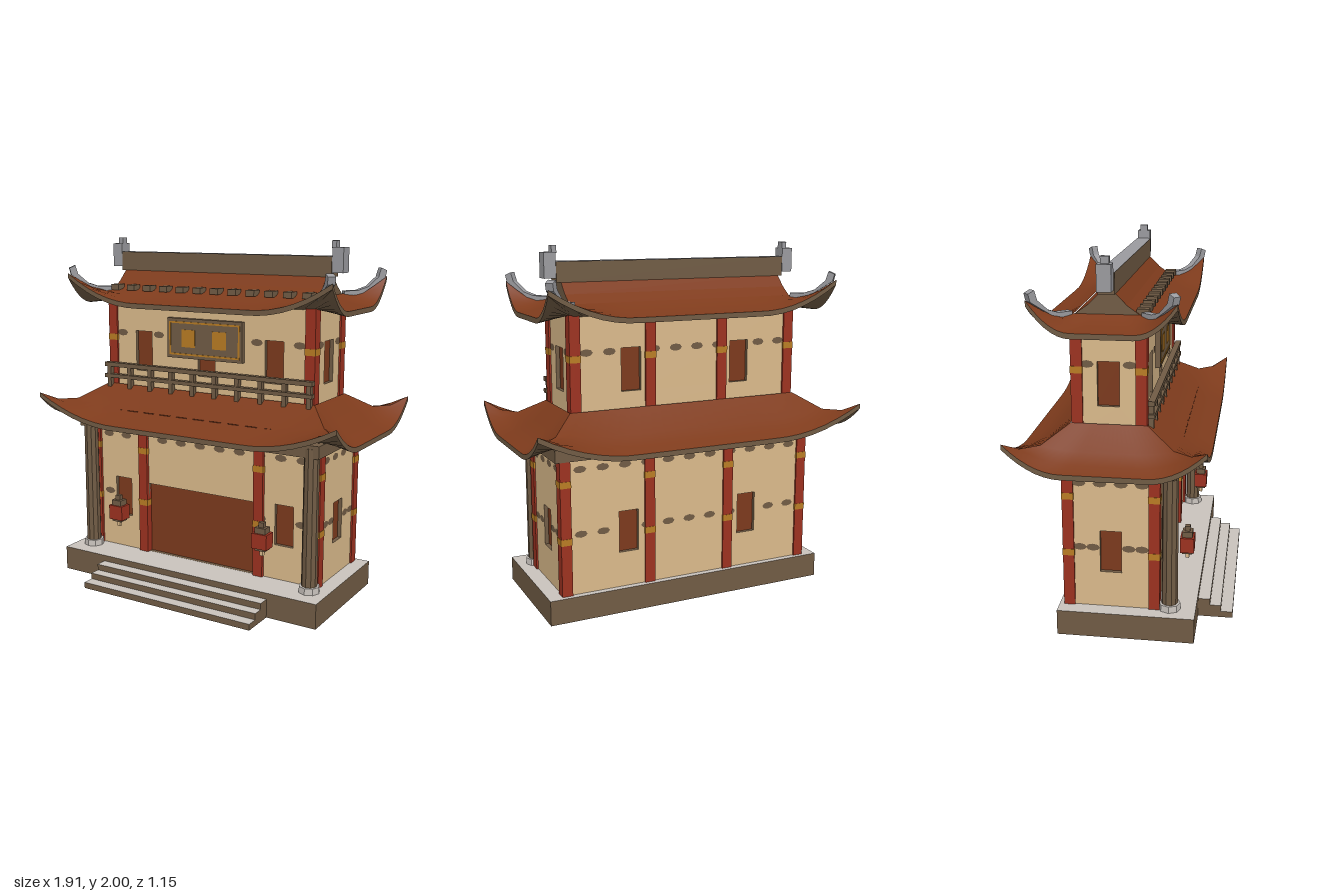
import * as THREE from 'three';

const mat = (name, color) => {
  const m = new THREE.MeshStandardMaterial({ color });
  m.name = name;
  return m;
};

export function createModel() {
  const tile = mat('roof tile', 0x7e3b1c);
  const wood = mat('brown timber', 0x715c45);
  const plaster = mat('plaster', 0xdcbb8c);
  const red = mat('red lacquer', 0x9d3220);
  const door = mat('door red', 0x7d3a1d);
  const gold = mat('gold', 0xba7d24);
  const stone = mat('pale stone', 0xc9c3bd);
  const grey = mat('grey stone', 0x9b9b9f);
  const model = new THREE.Group();

  const add = (name, geo, material, x = 0, y = 0, z = 0, parent = model) => {
    const m = new THREE.Mesh(geo, material);
    m.name = name;
    m.position.set(x, y, z);
    parent.add(m);
    return m;
  };
  // box given by its limits on each axis
  const box = (name, material, x0, x1, y0, y1, z0, z1, parent = model) =>
    add(name, new THREE.BoxGeometry(x1 - x0, y1 - y0, z1 - z0), material,
      (x0 + x1) / 2, (y0 + y1) / 2, (z0 + z1) / 2, parent);
  const faceted = (geo) => {
    const g = geo.toNonIndexed();
    g.computeVertexNormals();
    return g;
  };

  // platform and steps
  const paved = [wood, wood, stone, stone, wood, wood];
  box('platform', paved, -0.842, 0.842, 0, 0.14, -0.345, 0.385);
  [[0.035, 0.575], [0.07, 0.51], [0.105, 0.45]].forEach(([h, z]) =>
    box('step', paved, -0.55, 0.55, h - 0.035, h, 0.38, z));

  // wall panel facing +z with recessed openings and painted spots
  function wall(name, width, y0, y1, openings, rows, x, z, angle) {
    const g = new THREE.Group();
    g.name = name;
    g.position.set(x, 0, z);
    g.rotation.y = angle;
    model.add(g);
    const w = width / 2, shape = new THREE.Shape();
    shape.moveTo(-w, y0).lineTo(w, y0).lineTo(w, y1).lineTo(-w, y1).closePath();
    for (const [cx, hw, b, t] of openings) {
      const hole = new THREE.Path();
      hole.moveTo(cx - hw, b).lineTo(cx - hw, t).lineTo(cx + hw, t).lineTo(cx + hw, b).closePath();
      shape.holes.push(hole);
      box('opening panel', door, cx - hw - 0.01, cx + hw + 0.01, b - 0.01, t + 0.01, -0.04, -0.022, g);
    }
    add('plaster', new THREE.ExtrudeGeometry(shape, { depth: 0.04, bevelEnabled: false }), [plaster, wood], 0, 0, -0.04, g);
    const gap = width > 1 ? 0.13 : 0.11, n = Math.floor((width - 0.11) / gap), reach = 0.038;
    for (const y of rows) for (let i = 0; i <= n; i++) {
      let sx = (i - n / 2) * gap;
      const near = openings.find(([cx, hw, b, t]) => Math.abs(sx - cx) < hw + reach && y > b - 0.02 && y < t + 0.02);
      if (near) {
        // spots beside an opening slide to its edge, those inside are dropped
        const [cx, hw] = near, d = sx - cx;
        if (Math.abs(d) < hw - 0.03) continue;
        sx = cx + Math.sign(d) * (hw + reach);
      }
      add('wall spot', new THREE.CircleGeometry(0.02, 8), wood, sx, y, 0.002, g).scale.set(1.85, 1, 1);
    }
  }
  const H = Math.PI / 2;
  const low = (x) => [x, 0.057, 0.34, 0.575], high = (x) => [x, 0.057, 1.23, 1.465];
  wall('lower front wall', 1.46, 0.14, 0.96, [low(-0.545), low(0.545), [0, 0.36, 0.141, 0.565]], [0.84, 0.48], 0, 0.18, 0);
  wall('lower back wall', 1.46, 0.14, 0.96, [low(-0.37), low(0.37)], [0.84, 0.48], 0, -0.31, Math.PI);
  wall('upper front wall', 1.3, 1.08, 1.66, [high(-0.432), high(0), high(0.432)], [1.45], 0, 0.105, 0);
  wall('upper back wall', 1.3, 1.08, 1.66, [high(-0.33), high(0.33)], [1.45], 0, -0.265, Math.PI);
  for (const s of [-1, 1]) {
    wall('lower side wall', 0.48, 0.14, 0.96, [low(0)], [0.84, 0.48], s * 0.755, -0.065, s * H);
    wall('upper side wall', 0.36, 1.08, 1.66, [high(0)], [1.45], s * 0.67, -0.083, s * H);
  }

  // square red pillars with gold bands
  function pillar(x, z, y0, y1, bands) {
    box('pillar', red, x - 0.03, x + 0.03, y0, y1, z - 0.03, z + 0.03);
    for (const b of bands) box('gold band', gold, x - 0.032, x + 0.032, b - 0.018, b + 0.018, z - 0.032, z + 0.032);
  }
  for (const s of [-1, 1]) {
    const lowBands = [0.447, 0.765];
    pillar(s * 0.735, 0.165, 0.14, 0.95, lowBands);
    pillar(s * 0.39, 0.17, 0.14, 0.95, lowBands);
    pillar(s * 0.735, -0.29, 0.14, 0.95, lowBands);
    pillar(s * 0.245, -0.29, 0.14, 0.95, lowBands);
    pillar(s * 0.65, 0.086, 1.08, 1.65, [1.42]);
    pillar(s * 0.65, -0.246, 1.08, 1.65, [1.42]);
    pillar(s * 0.218, -0.246, 1.08, 1.65, [1.42]);

    // round porch columns on stone bases
    add('porchColumn', faceted(new THREE.CylinderGeometry(0.042, 0.044, 0.8, 10)), wood, s * 0.735, 0.54, 0.245);
    add('columnBase', faceted(new THREE.CylinderGeometry(0.058, 0.06, 0.036, 8)), stone, s * 0.735, 0.158, 0.245);

    // hanging lanterns
    const lantern = new THREE.Group();
    lantern.name = 'lantern';
    lantern.position.set(s * 0.482, 0, 0.316);
    model.add(lantern);
    box('lanternBody', red, -0.046, 0.046, 0.365, 0.45, -0.038, 0.038, lantern);
    box('lanternCap', wood, -0.032, 0.032, 0.45, 0.482, -0.028, 0.028, lantern);
    box('lanternHook', wood, -0.016, 0.016, 0.482, 0.51, -0.014, 0.014, lantern);
    box('lanternFoot', wood, -0.032, 0.032, 0.352, 0.365, -0.028, 0.028, lantern);
    box('tassel', plaster, -0.01, 0.01, 0.32, 0.352, -0.01, 0.01, lantern);

    box('beamOrnament', gold, s * 0.395 - 0.06, s * 0.395 + 0.06, 0.89, 0.94, 0.275, 0.284);
  }
  box('eaveBeam', wood, -0.79, 0.79, 0.89, 0.96, -0.325, 0.28);

  // rectangular rings swept between eave and wall; ring = [half width, front z, back z, y, corner lift]
  function ringSurface(name, rings, material) {
    const pos = [], idx = [], N = 24;
    for (let k = 0; k < 4; k++) {
      const start = pos.length / 3, flat = k % 2 ? 0.42 : 0.45;
      for (const [a, zf, zb, y, lift] of rings) {
        const c = (zf + zb) / 2, h = (zf - zb) / 2;
        for (let j = 0; j <= N; j++) {
          const s = -1 + 2 * j / N;
          const rise = lift * Math.max(0, (Math.abs(s) - flat) / (1 - flat)) ** 2;
          const [x, z] = [[a * s, zf], [a, c - h * s], [-a * s, zb], [-a, c + h * s]][k];
          pos.push(x, y + rise, z);
        }
      }
      for (let i = 0; i < rings.length - 1; i++) for (let j = 0; j < N; j++) {
        const p = start + i * (N + 1) + j, q = p + N + 1;
        idx.push(p, p + 1, q + 1, p, q + 1, q);
      }
    }
    const g = new THREE.BufferGeometry();
    g.setAttribute('position', new THREE.Float32BufferAttribute(pos, 3));
    g.setIndex(idx);
    g.computeVertexNormals();
    add(name, g, material);
  }
  function roof(name, rings, soffit) {
    const lip = [...rings[0]];
    lip[3] -= 0.028;
    ringSurface(name + 'Tiles', rings, tile);
    ringSurface(name + 'Fascia', [lip, rings[0]], wood);
    ringSurface(name + 'Underside', [soffit, lip], wood);
  }
  roof('lowerRoof', [
    [0.957, 0.442, -0.573, 0.957, 0.145], [0.885, 0.36, -0.5, 0.982, 0.075],
    [0.81, 0.265, -0.41, 1.03, 0.025], [0.685, 0.12, -0.28, 1.14, 0],
  ], [0.74, 0.2, -0.31, 0.955, 0]);
  roof('upperRoof', [
    [0.845, 0.283, -0.453, 1.643, 0.155], [0.78, 0.21, -0.38, 1.655, 0.08],
    [0.72, 0.145, -0.315, 1.675, 0.025], [0.665, 0.085, -0.255, 1.705, 0],
  ], [0.65, 0.1, -0.265, 1.64, 0]);

  // gabled top of the upper roof
  const gable = new THREE.Shape();
  gable.moveTo(-0.17, 1.7).lineTo(0.17, 1.7).lineTo(0.1, 1.75).lineTo(0.035, 1.815)
    .lineTo(-0.035, 1.815).lineTo(-0.1, 1.75).closePath();
  const top = add('gableRoof', new THREE.ExtrudeGeometry(gable, { depth: 1.33, bevelEnabled: false }),
    [wood, tile], -0.665, 0, -0.085);
  top.rotation.y = H;

  // ridge and its end ornaments
  box('ridge', [wood, wood, grey, wood, wood, wood], -0.69, 0.69, 1.808, 1.917, -0.127, -0.043);
  box('ridgeEnd', grey, -0.76, -0.695, 1.83, 1.965, -0.122, -0.048);
  box('ridgeEnd', grey, 0.69, 0.755, 1.83, 1.965, -0.122, -0.048);
  box('ridgeFinial', grey, -0.73, -0.7, 1.96, 2, -0.107, -0.063);
  box('ridgeFinial', grey, 0.68, 0.707, 1.96, 2, -0.107, -0.063);

  // upturned hip ornaments at the four corners
  const horn = new THREE.Shape();
  horn.moveTo(0, 1.69).lineTo(0.1, 1.7).lineTo(0.18, 1.75).lineTo(0.24, 1.79).lineTo(0.25, 1.83)
    .lineTo(0.215, 1.845).lineTo(0.2, 1.795).lineTo(0.14, 1.742).lineTo(0.08, 1.722).lineTo(0, 1.72).closePath();
  const hornGeo = new THREE.ExtrudeGeometry(horn, { depth: 0.042, bevelEnabled: false }).translate(0, 0, -0.021);
  [[1, 1, -1], [1, -1, 1], [-1, -1, 3], [-1, 1, -3]].forEach(([sx, sz, q]) => {
    add('hipOrnament', hornGeo, grey, sx * 0.662, 0, -0.085 + sz * 0.187).rotation.y = q * Math.PI / 4;
  });

  // row of blocks on the upper roof and slots on the lower roof
  for (let i = 0; i < 12; i++) {
    const x = (i - 5.5) * 0.114;
    box('roofBlock', wood, x - 0.026, x + 0.026, 1.7, 1.733, 0.06, 0.122);
  }
  for (let i = 0; i < 10; i++) {
    const x = (i - 4.5) * 0.112;
    box('roofSlot', door, x - 0.035, x + 0.035, 1.01, 1.022, 0.27, 0.288);
  }

  // balcony railing
  for (const [y0, y1] of [[1.245, 1.27], [1.178, 1.2]])
    box('rail', wood, -0.688, 0.685, y0, y1, 0.122, 0.157);
  for (let i = 0; i < 10; i++) {
    const x = (i - 4.5) * 0.147;
    box('railPost', wood, x - 0.013, x + 0.013, 1.1, 1.25, 0.122, 0.15);
  }

  // plain sign board with gold border and inlays
  box('signBoard', wood, -0.248, 0.246, 1.33, 1.558, 0.1, 0.132);
  for (const y of [1.353, 1.535]) box('signBorder', gold, -0.232, 0.23, y - 0.005, y + 0.005, 0.13, 0.136);
  for (const x of [-0.228, 0.226]) box('signBorder', gold, x - 0.005, x + 0.005, 1.353, 1.535, 0.13, 0.136);
  for (const x of [-0.105, 0.1]) box('signInlay', gold, x - 0.045, x + 0.045, 1.395, 1.495, 0.13, 0.135);

  return model;
}
